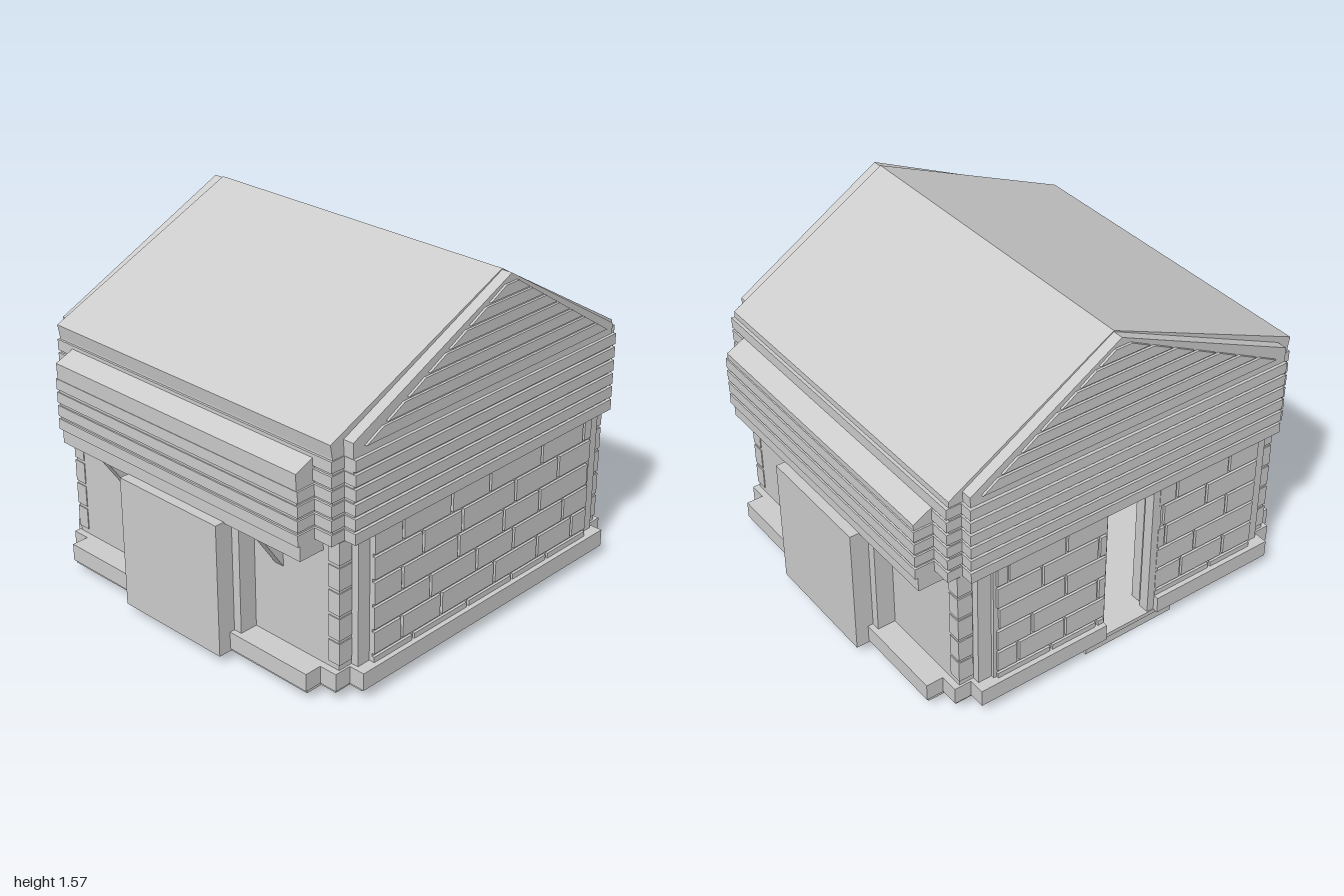
import * as THREE from 'three';

const mat = new THREE.MeshStandardMaterial({ color: 0xcccccc, flatShading: true });
const DOOR = [-0.15, 0.13];

export function createModel() {
  const model = new THREE.Group();

  function add(name, geo, parent = model) {
    const mesh = new THREE.Mesh(geo, mat);
    mesh.name = name;
    parent.add(mesh);
    return mesh;
  }
  function group(name) {
    const g = new THREE.Group();
    g.name = name;
    model.add(g);
    return g;
  }
  // Box given by its min and max on each axis
  function box(name, x0, x1, y0, y1, z0, z1, parent) {
    const geo = new THREE.BoxGeometry(x1 - x0, y1 - y0, z1 - z0);
    geo.translate((x0 + x1) / 2, (y0 + y1) / 2, (z0 + z1) / 2);
    return add(name, geo, parent);
  }
  const shapeOf = pts => new THREE.Shape(pts.map(p => new THREE.Vector2(...p)));
  // Front profile (x, y) extruded from z0 to z1
  function profile(name, pts, z0, z1, parent) {
    const geo = new THREE.ExtrudeGeometry(shapeOf(pts), { depth: z1 - z0, bevelEnabled: false });
    geo.translate(0, 0, z0);
    return add(name, geo, parent);
  }
  // Floor plan (x, -z) extruded from y0 to y1
  function plan(name, pts, y0, y1, parent) {
    const geo = new THREE.ExtrudeGeometry(shapeOf(pts), { depth: y1 - y0, bevelEnabled: false });
    geo.rotateX(-Math.PI / 2);
    geo.translate(0, y0, 0);
    return add(name, geo, parent);
  }
  // Outline with stepped corners; steps run from the end wall to the side wall
  function stepped(steps) {
    const quarter = [];
    steps.forEach(([x, z], i) => {
      if (i) quarter.push([steps[i - 1][0], z]);
      quarter.push([x, z]);
    });
    const right = [...quarter, ...quarter.map(([x, z]) => [x, -z]).reverse()];
    return [...right, ...right.map(([x, z]) => [-x, z]).reverse()];
  }
  // The same outline, hollow and open at the back doorway
  function hollow(steps, ix, iz) {
    const z = steps[0][1];
    return [[DOOR[1], z], ...stepped(steps), [DOOR[0], z], [DOOR[0], iz],
      [-ix, iz], [-ix, -iz], [ix, -iz], [ix, iz], [DOOR[1], iz]];
  }

  // Foundation
  plan('footing', [[-0.25, -0.12], [0.64, -0.12], [0.64, 0.48], [0.22, 0.48], [0.22, 0.86], [-0.25, 0.86]], 0, 0.041);
  plan('floor', stepped([[0.77, 0.865], [0.85, 0.8], [0.93, 0.72]]), 0.04, 0.06);
  plan('plinth', hollow([[0.78, 0.885], [0.86, 0.81], [0.94, 0.725]], 0.72, 0.74), 0.055, 0.135);

  // Walls
  plan('walls', hollow([[0.695, 0.85], [0.76, 0.835], [0.83, 0.8]], 0.72, 0.74), 0.1, 0.725);

  // Staggered stone courses on front and back
  const stones = group('stonework');
  const rowH = 0.114, gap = 0.014, end = 0.695;
  function stone(x0, x1, y, side) {
    if (x1 - x0 < 0.03) return;
    const z = [side * 0.84, side * 0.862].sort((a, b) => a - b);
    box('stone', x0, x1, y, y + rowH - gap, z[0], z[1], stones);
  }
  for (const side of [1, -1]) {
    for (let r = 0; r < 6; r++) {
      const y = Math.min(0.06 + r * rowH, 0.63);
      let x = -end;
      for (let i = 0; x < end - 0.01; i++) {
        const width = i === 0 && r % 2 ? 0.17 : 0.29 + 0.05 * ((i * 2 + r) % 3 - 1);
        const next = Math.min(end, x + width);
        if (side > 0) stone(x, next - gap, y, side);
        else {
          stone(x, Math.min(next - gap, DOOR[0]), y, side);
          stone(Math.max(x, DOOR[1]), next - gap, y, side);
        }
        x = next;
      }
    }
  }

  // Quoins on the stepped corners
  const quoins = group('quoins');
  for (const sx of [1, -1]) for (const sz of [1, -1]) for (let r = 0; r < 5; r++) {
    const y = 0.16 + r * 0.114;
    const q = box('quoin', -0.035, 0.035, y, y + 0.1, -0.03, 0.03, quoins);
    q.position.set(sx * 0.799, 0, sz * 0.775);
  }

  // Door posts set inside the doorway
  box('doorPost', DOOR[0] - 0.01, DOOR[0] + 0.035, 0.055, 0.72, -0.86, -0.81);
  box('doorPost', DOOR[0] - 0.01, DOOR[0] + 0.02, 0.055, 0.72, -0.79, -0.74);
  box('doorPost', DOOR[1] - 0.02, DOOR[1] + 0.01, 0.055, 0.72, -0.84, -0.79);

  // Side bays with pilasters, beams and braces
  for (const s of [1, -1]) {
    const bay = group(s > 0 ? 'leftBay' : 'rightBay');
    const sideBox = (name, a, b, y0, y1, z0, z1) =>
      box(name, Math.min(s * a, s * b), Math.max(s * a, s * b), y0, y1, z0, z1, bay);
    sideBox('bayBlock', 0.8, 1, 0.045, 0.655, -0.29, 0.29);
    sideBox('pilaster', 0.8, 0.915, 0.1, 0.66, -0.33, 0.33);
    sideBox('beam', 0.8, 0.955, 0.65, 0.725, -0.715, 0.715);
    for (const z of [-0.47, 0.47]) {
      const pts = [[0.82, 0.47], [0.95, 0.66], [0.91, 0.66], [0.82, 0.53]].map(([x, y]) => [s * x, y]);
      profile('brace', pts, z - 0.024, z + 0.024, bay);
    }
  }

  // Upper storey, roof and lean-to ledges
  profile('roof', [[-0.87, 0.72], [0.865, 0.72], [0.865, 1.11], [0.09, 1.57], [-0.88, 1.15], [-0.87, 1.09]], -0.803, 0.803);
  profile('gableWall', [[-0.8, 0.72], [0.79, 0.72], [0.8, 1.13], [0.09, 1.565], [-0.81, 1.15]], -0.852, 0.852);
  profile('ledge', [[0.8, 0.72], [0.955, 0.72], [0.965, 0.985], [0.86, 1.04], [0.8, 1.04]], -0.71, 0.71);
  profile('ledge', [[-0.8, 0.72], [-0.96, 0.72], [-0.97, 1.03], [-0.87, 1.07], [-0.8, 1.07]], -0.71, 0.71);

  // Log courses wrapping the stepped corners
  const logs = group('logs');
  const pitch = 0.0625;
  for (let i = 0; i < 6; i++) {
    const y = 0.72 + i * pitch;
    const steps = [[0.81, 0.866], [0.88, 0.808]];
    if (i < 4) steps.push([0.97, 0.718]);
    plan('logCourse', stepped(steps), y, y + pitch - 0.013, logs);
  }

  // Gable boards, trimmed to the two roof slopes
  const boards = group('gableBoards');
  const leftAt = y => 0.09 - (1.55 - y) * 1.95;
  const rightAt = y => 0.09 + (1.55 - y) * 1.53;
  for (let i = 0; i < 7; i++) {
    const y0 = 1.12 + i * 0.06, y1 = y0 + 0.048;
    const pts = [[leftAt(y0), y0], [rightAt(y0), y0], [rightAt(y1), y1], [leftAt(y1), y1]];
    profile('frontBoard', pts, 0.84, 0.863, boards);
    profile('backBoard', pts, -0.863, -0.84, boards);
  }
  return model;
}
